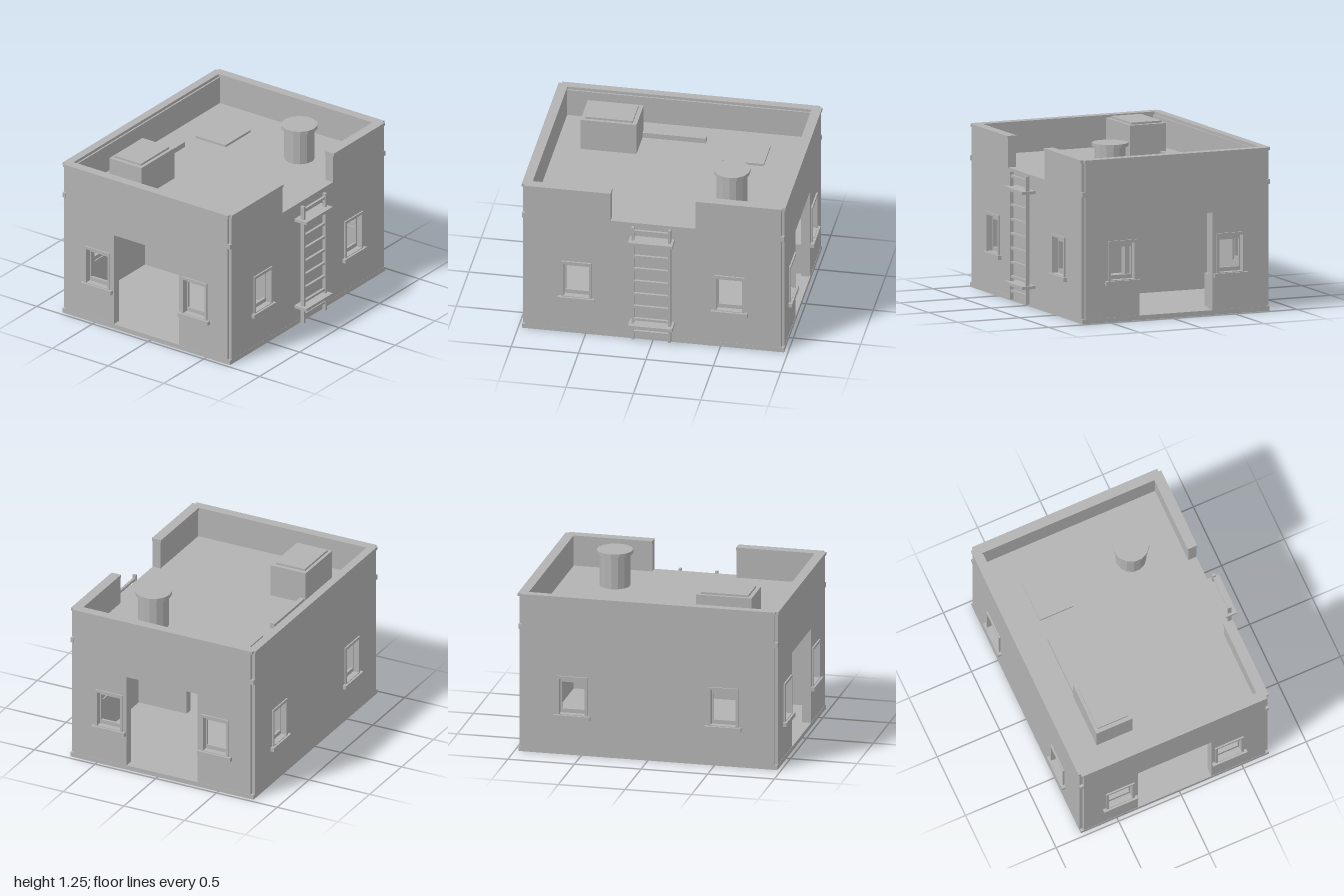
import * as THREE from 'three';

const WALL = 0.065, FLOOR = 0.035, DECK = 0.975, TOP = 1.185;

export function createModel() {
  const model = new THREE.Group();
  model.name = 'flatRoofHouse';
  const plaster = new THREE.MeshStandardMaterial({ color: 0xb2b2b2 });
  plaster.name = 'plaster grey';

  const add = (parent, name, geometry) => {
    const mesh = new THREE.Mesh(geometry, plaster);
    mesh.name = name;
    parent.add(mesh);
    return mesh;
  };
  // Box given by its limits on each axis
  const box = (parent, name, x0, x1, y0, y1, z0, z1) => {
    const g = new THREE.BoxGeometry(x1 - x0, y1 - y0, z1 - z0);
    g.translate((x0 + x1) / 2, (y0 + y1) / 2, (z0 + z1) / 2);
    return add(parent, name, g);
  };
  const rect = (x0, x1, y0, y1) => [[x0, y0], [x1, y0], [x1, y1], [x0, y1]];
  // Plate in the x-y plane, from z0 to z1, with polygonal holes
  const plate = (parent, name, outline, holes, z0, z1) => {
    const toPoints = (list) => list.map(([x, y]) => new THREE.Vector2(x, y));
    const shape = new THREE.Shape(toPoints(outline));
    holes.forEach((h) => shape.holes.push(new THREE.Path(toPoints(h))));
    const g = new THREE.ExtrudeGeometry(shape, { depth: z1 - z0, bevelEnabled: false });
    g.translate(0, 0, z0);
    return add(parent, name, g);
  };

  // Window trim around an opening centred on u; the wall face is z = 0
  const windowHole = (u) => rect(u - 0.095, u + 0.095, 0.31, 0.58);
  const addWindow = (wall, u) => {
    plate(wall, 'windowFrame', rect(u - 0.113, u + 0.113, 0.305, 0.6), [windowHole(u)], 0, 0.012);
    plate(wall, 'windowSash', rect(u - 0.095, u + 0.095, 0.31, 0.58),
      [rect(u - 0.087, u + 0.087, 0.34, 0.545)], -0.055, -0.035);
    box(wall, 'windowSill', u - 0.136, u + 0.136, 0.275, 0.305, -0.005, 0.028);
  };
  const addWall = (name, outline, holes, windows, x, z, turn) => {
    const wall = new THREE.Group();
    wall.name = name;
    wall.position.set(x, 0, z);
    wall.rotation.y = turn;
    model.add(wall);
    plate(wall, name + 'Panel', outline, [...holes, ...windows.map(windowHole)], -WALL, 0);
    windows.forEach((u) => addWindow(wall, u));
  };

  // Ground slab and roof deck
  box(model, 'groundSlab', -0.972, 0.972, 0, FLOOR, -0.79, 0.716);
  box(model, 'roofDeck', -0.92, 0.92, DECK - 0.06, DECK, -0.74, 0.665);

  // Front wall drops to deck level where the ladder arrives
  const gap = 0.315;
  addWall('frontWall', [[-0.95, FLOOR], [0.95, FLOOR], [0.95, TOP], [gap, TOP],
    [gap, DECK], [-gap, DECK], [-gap, TOP], [-0.95, TOP]], [], [-0.567, 0.567], 0, 0.715, 0);
  addWall('backWall', rect(-0.95, 0.95, FLOOR, TOP), [], [-0.567, 0.567], 0, -0.79, Math.PI);

  // Side walls: doorway notched up from the floor, a window on each side
  for (const s of [1, -1]) {
    const u = (z) => -s * z;
    const outline = [[u(0.69), FLOOR], [u(0.255), FLOOR], [u(0.255), 0.755], [u(-0.33), 0.755],
      [u(-0.33), FLOOR], [u(-0.765), FLOOR], [u(-0.765), TOP], [u(0.69), TOP]];
    addWall(s > 0 ? 'leftWall' : 'rightWall', outline, [], [u(0.397), u(-0.475)],
      s * 0.97, 0, s * Math.PI / 2);
  }

  // Small blocks closing the corner grooves at deck level
  for (const x of [-0.958, 0.958]) {
    for (const z of [-0.778, 0.703]) {
      box(model, 'cornerBlock', x - 0.014, x + 0.014, 0.935, 0.972, z - 0.013, z + 0.013);
    }
  }

  // Parapet coping: one U-shaped strip with notched corners, open at the ladder
  const half = [[gap, 0.645], [0.905, 0.645], [0.905, -0.737]];
  const outer = [[0.955, -0.8], [0.955, -0.782], [0.978, -0.782], [0.978, 0.7],
    [0.955, 0.7], [0.955, 0.722], [gap, 0.722]];
  const mirror = (list) => list.map(([x, z]) => [-x, z]).reverse();
  const ring = [...half, ...mirror(half), ...mirror(outer), ...outer];
  const coping = plate(model, 'parapetCoping', ring.map(([x, z]) => [x, -z]), [], 0, 0.022);
  coping.rotation.x = -Math.PI / 2;
  coping.position.y = TOP;

  // Interior partition with its own doorway, and a bench by the back wall
  const partition = plate(model, 'partition', [[-0.65, FLOOR], [-0.255, FLOOR], [-0.255, 0.62],
    [0.065, 0.62], [0.065, FLOOR], [0.73, FLOOR], [0.73, 0.92], [-0.65, 0.92]], [], -0.03, 0.03);
  partition.rotation.y = Math.PI / 2;
  box(model, 'bench', 0.767, 0.905, FLOOR, 0.28, -0.726, -0.36);

  // Roof fittings
  box(model, 'roofChest', -0.72, -0.305, DECK, 1.22, -0.55, -0.262);
  box(model, 'roofChestLid', -0.69, -0.337, 1.22, 1.235, -0.527, -0.287);
  box(model, 'roofDuct', -0.305, 0.165, DECK, 1.015, -0.542, -0.505);
  box(model, 'roofHatch', 0.33, 0.64, DECK, 0.992, -0.53, -0.26);
  const drum = (name, r, y0, y1) => {
    const g = new THREE.CylinderGeometry(r, r, y1 - y0, 14).toNonIndexed();
    g.computeVertexNormals();
    add(model, name, g).position.set(0.505, (y0 + y1) / 2, 0.277);
  };
  drum('ventDrum', 0.113, DECK, 1.222);
  drum('ventCap', 0.134, 1.222, 1.248);

  // Ladder with two wall brackets
  const ladder = new THREE.Group();
  ladder.name = 'ladder';
  model.add(ladder);
  for (const x of [-0.139, 0.134]) box(ladder, 'ladderRail', x - 0.009, x + 0.009, 0.03, DECK, 0.758, 0.786);
  for (let i = 0; i < 9; i++) {
    const y = 0.094 + i * 0.106;
    box(ladder, 'ladderRung', -0.135, 0.13, y - 0.009, y + 0.009, 0.762, 0.782);
  }
  for (const y of [0.156, 0.857]) box(ladder, 'ladderBracket', -0.167, 0.161, y - 0.011, y + 0.011, 0.712, 0.824);

  return model;
}
